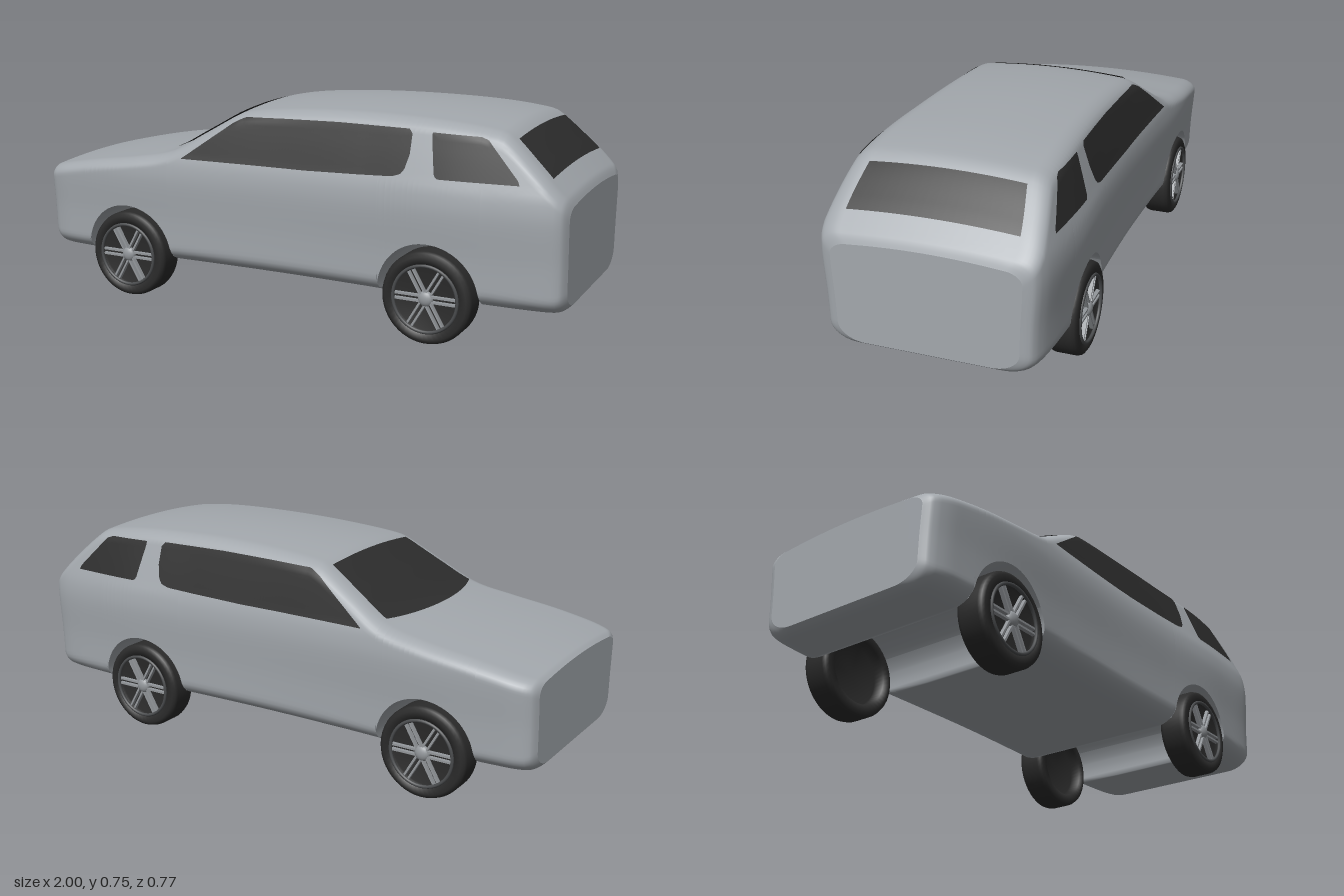
import * as THREE from 'three';

const mat = (name, color, side = THREE.FrontSide) => {
  const m = new THREE.MeshStandardMaterial({ color, side });
  m.name = name;
  return m;
};

// Smooth curve through [x, y] pairs
function curve(pts) {
  const slope = (i) => {
    const a = pts[Math.max(0, i - 1)], b = pts[Math.min(pts.length - 1, i + 1)];
    return (b[1] - a[1]) / (b[0] - a[0]);
  };
  return (x) => {
    x = Math.min(Math.max(x, pts[0][0]), pts[pts.length - 1][0]);
    let i = 0;
    while (i < pts.length - 2 && x > pts[i + 1][0]) i++;
    const [x0, y0] = pts[i], [x1, y1] = pts[i + 1], h = x1 - x0, t = (x - x0) / h;
    const t2 = t * t, t3 = t2 * t;
    return y0 * (2 * t3 - 3 * t2 + 1) + y1 * (3 * t2 - 2 * t3)
      + h * (slope(i) * (t3 - 2 * t2 + t) + slope(i + 1) * (t3 - t2));
  };
}

// Straight segments through [x, y] pairs
function polyline(pts) {
  return (x) => {
    let i = 0;
    while (i < pts.length - 2 && x > pts[i + 1][0]) i++;
    const [x0, y0] = pts[i], [x1, y1] = pts[i + 1];
    return y0 + (y1 - y0) * Math.min(1, Math.max(0, (x - x0) / (x1 - x0)));
  };
}

// Surface over a grid of nu by nv cells; fn(i, j) gives [x, y, z]
function grid(nu, nv, fn) {
  const pos = [], idx = [];
  for (let i = 0; i <= nu; i++) for (let j = 0; j <= nv; j++) {
    pos.push(...fn(i, j));
    if (i < nu && j < nv) {
      const a = i * (nv + 1) + j, b = a + nv + 1;
      idx.push(a, b, b + 1, a, b + 1, a + 1);
    }
  }
  const g = new THREE.BufferGeometry();
  g.setAttribute('position', new THREE.Float32BufferAttribute(pos, 3));
  g.setIndex(idx);
  g.computeVertexNormals();
  return g;
}

// Body rules: roof line, side curve, plan width, floor with wheel arches
const roofLine = curve([[-1, 0.46], [-0.98, 0.472], [-0.8, 0.508], [-0.6, 0.538], [-0.46, 0.568],
  [-0.33, 0.64], [-0.21, 0.71], [-0.17, 0.726], [0, 0.744], [0.2, 0.754], [0.4, 0.755], [0.6, 0.748],
  [0.75, 0.732], [0.79, 0.718], [0.9, 0.622], [0.97, 0.553], [0.99, 0.531], [1, 0.51]]);
const sideCurve = curve([[0.14, 0.37], [0.3, 0.375], [0.45, 0.385], [0.52, 0.379], [0.56, 0.367],
  [0.63, 0.345], [0.7, 0.322], [0.76, 0.303]]);
const plan = curve([[-1, 0.83], [-0.99, 0.89], [-0.96, 0.94], [-0.9, 0.972], [-0.65, 1], [-0.3, 0.97],
  [0, 0.955], [0.3, 0.968], [0.6, 1], [0.8, 0.988], [0.92, 0.962], [0.97, 0.925], [0.99, 0.88], [1, 0.81]]);
const axles = [-0.63, 0.55];
const ARCH = 0.18, CROWN = 0.012, TOP_Y = 0.04, TOP_Z = 0.06, LOW_Y = 0.06, LOW_Z = 0.09;

const sillY = (x) => 0.146 + 0.018 * Math.max(0, (Math.abs(x) - 0.96) / 0.04) ** 2;
const shoulderY = (x) => roofLine(x) - CROWN;
function floorY(x) {
  let y = sillY(x);
  for (const c of axles) {
    const d = Math.abs(x - c);
    if (d <= ARCH) y = Math.max(y, 0.165 + Math.sqrt(ARCH * ARCH - d * d));
  }
  return y;
}
function halfWidth(x, y) {
  const round = (d, h, w) => (d >= h ? 0 : w * (1 - Math.sqrt(Math.max(0, 1 - (1 - d / h) ** 2))));
  return sideCurve(y) * plan(x) - round(Math.max(0, shoulderY(x) - y), TOP_Y, TOP_Z)
    - round(Math.max(0, y - sillY(x)), LOW_Y, LOW_Z);
}
const roofHalf = (x) => halfWidth(x, shoulderY(x));

const NS = 36, NT = 14;
function sidePoint(x, j) {
  const lo = floorY(x), t = (1 - Math.cos((Math.PI * j) / NS)) / 2;
  const y = lo + (shoulderY(x) - lo) * t;
  return [x, y, halfWidth(x, y)];
}
function roofPoint(x, v, lift = 0) {
  return [x, shoulderY(x) + CROWN * (1 - v * v) + lift, v * roofHalf(x)];
}

// Lengthwise stations, denser at the ends and around the arches
function stations() {
  const xs = [];
  for (let i = 0; i <= 100; i++) xs.push(-1 + i * 0.02);
  for (const e of [0.998, 0.995, 0.99, 0.985, 0.97]) xs.push(e, -e);
  for (const c of axles) {
    for (let k = 0; k <= 32; k++) xs.push(c + ARCH * 0.99999 * Math.cos((Math.PI * k) / 32));
    xs.push(c - ARCH - 0.0005, c + ARCH + 0.0005);
  }
  return xs.sort((a, b) => a - b);
}

function buildBody(paint) {
  const body = new THREE.Group();
  body.name = 'body';
  const add = (name, g) => {
    const m = new THREE.Mesh(g, paint);
    m.name = name;
    body.add(m);
  };
  const xs = stations(), n = xs.length - 1;
  // Sides and roof in one smooth skin
  add('bodyShell', grid(n, 2 * NS + NT, (i, j) => {
    if (j <= NS) return sidePoint(xs[i], j);
    if (j < NS + NT) return roofPoint(xs[i], 1 - (2 * (j - NS)) / NT);
    const [x, y, z] = sidePoint(xs[i], 2 * NS + NT - j);
    return [x, y, -z];
  }));
  // Floor with the arch tunnels
  add('underbody', grid(n, 4, (i, j) => {
    const [x, y, z] = sidePoint(xs[i], 0);
    return [x, y, z * (j / 2 - 1)];
  }));
  // Flat nose and tail
  for (const s of [-1, 1]) {
    add(s < 0 ? 'nosePanel' : 'tailPanel', grid(NT, NS + 1, (i, j) => {
      const v = -s * ((2 * i) / NT - 1);
      if (j > NS) return roofPoint(s, v);
      const [x, y, z] = sidePoint(s, j);
      return [x, y, z * v];
    }));
  }
  return body;
}

function buildGlass(glass) {
  const group = new THREE.Group();
  group.name = 'windows';
  const add = (name, g) => {
    const m = new THREE.Mesh(g, glass);
    m.name = name;
    group.add(m);
  };
  // Side windows: lower and upper edge along x
  const panes = [
    ['sideWindow', -0.39, 0.475,
      [[-0.39, 0.54], [0.1, 0.543], [0.3, 0.55], [0.42, 0.556], [0.45, 0.566], [0.468, 0.59], [0.475, 0.63]],
      [[-0.39, 0.542], [-0.33, 0.585], [-0.2, 0.678], [-0.16, 0.698], [0, 0.704], [0.2, 0.709], [0.465, 0.709], [0.475, 0.695]]],
    ['rearSideWindow', 0.545, 0.85,
      [[0.545, 0.69], [0.568, 0.57], [0.58, 0.562], [0.85, 0.566]],
      [[0.545, 0.704], [0.71, 0.702], [0.735, 0.694], [0.845, 0.58], [0.85, 0.567]]],
  ];
  for (const [name, x0, x1, low, high] of panes) {
    const lo = polyline(low), hi = polyline(high);
    for (const s of [-1, 1]) {
      add((s > 0 ? 'front' : 'back') + name, grid(70, 12, (i, j) => {
        const x = x0 + (x1 - x0) * (s > 0 ? i / 70 : 1 - i / 70);
        const y = lo(x) + ((hi(x) - lo(x)) * j) / 12;
        return [x, y, s * (halfWidth(x, y) + 0.004)];
      }));
    }
  }
  // Windscreen with a bowed lower edge, and tailgate window
  const sheet = (name, x0, x1, bow, width) => add(name, grid(20, 16, (i, j) => {
    const v = 1 - j / 8, start = x0 + bow * v * v;
    return roofPoint(start + ((x1 - start) * i) / 20, v * width, 0.006);
  }));
  sheet('windscreen', -0.5, -0.21, 0.05, 1);
  sheet('tailgateWindow', 0.812, 0.935, 0, 0.99);
  return group;
}

function buildWheel(mats) {
  const wheel = new THREE.Group();
  const add = (name, g, m) => {
    const mesh = new THREE.Mesh(g, m);
    mesh.name = name;
    wheel.add(mesh);
    return mesh;
  };
  const profile = [[0, -0.012], [0.11, -0.012], [0.116, -0.05], [0.143, -0.053], [0.154, -0.046],
    [0.158, -0.034], [0.158, 0.034], [0.154, 0.046], [0.143, 0.053], [0.118, 0.053], [0.114, 0.03], [0, 0.03]];
  add('tyre', new THREE.LatheGeometry(profile.map((p) => new THREE.Vector2(...p)), 48).rotateX(Math.PI / 2), mats.rubber);
  add('rim', new THREE.TorusGeometry(0.113, 0.006, 8, 48).translate(0, 0, 0.053), mats.rim);
  add('hub', new THREE.SphereGeometry(0.027, 20, 12).scale(1, 1, 0.6).translate(0, 0, 0.043), mats.alloy);
  // Paired spokes
  for (let k = 0; k < 6; k++) for (const s of [-1, 1]) {
    const g = new THREE.BoxGeometry(0.095, 0.007, 0.014).translate(0.064, s * 0.009, 0.044);
    add('spoke', g.rotateZ((k * Math.PI) / 3), mats.alloy);
  }
  return wheel;
}

export function createModel() {
  const mats = {
    paint: mat('silver paint', 0xa3a8ad),
    glass: mat('dark glass', 0x2d2d2d, THREE.DoubleSide),
    rubber: mat('black rubber', 0x2b2b2b),
    rim: mat('dark rim metal', 0x4a4c4e),
    alloy: mat('alloy metal', 0x94989c),
  };
  const car = new THREE.Group();
  car.name = 'car';
  car.add(buildBody(mats.paint), buildGlass(mats.glass));
  for (const x of axles) for (const s of [-1, 1]) {
    const wheel = buildWheel(mats);
    wheel.name = (x < 0 ? 'nose' : 'tail') + (s > 0 ? 'FrontWheel' : 'BackWheel');
    wheel.position.set(x, 0.16, s * 0.327);
    if (s < 0) wheel.rotation.y = Math.PI;
    car.add(wheel);
  }
  return car;
}
